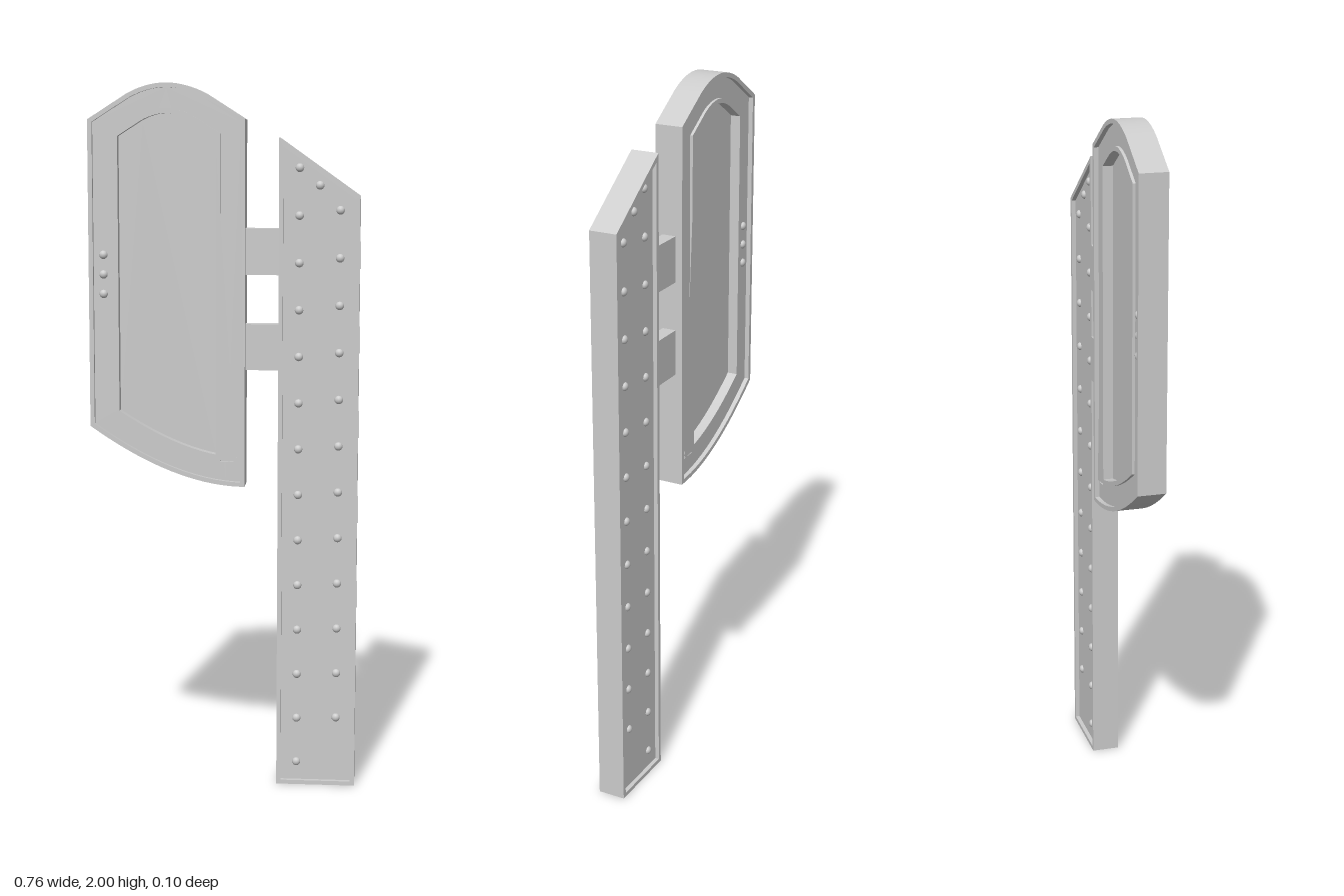
import * as THREE from 'three';
import { toCreasedNormals } from 'three/addons/utils/BufferGeometryUtils.js';

const material = new THREE.MeshStandardMaterial({ color: 0xcccccc });

function add(parent, name, geometry, x = 0, y = 0, z = 0) {
  const mesh = new THREE.Mesh(geometry, material);
  mesh.name = name;
  mesh.position.set(x, y, z);
  parent.add(mesh);
  return mesh;
}

// Moves every edge of a counter-clockwise convex outline inwards by d
function inset(points, d) {
  const n = points.length;
  return points.map((p, i) => {
    const a = p.clone().sub(points[(i + n - 1) % n]).normalize();
    const b = points[(i + 1) % n].clone().sub(p).normalize();
    const k = d / (1 + a.dot(b));
    return new THREE.Vector2(p.x - (a.y + b.y) * k, p.y + (a.x + b.x) * k);
  });
}

// Plate or ring between two insets of an outline, from z0 to z1
function plate(outline, outer, inner, z0, z1) {
  const shape = new THREE.Shape(inset(outline, outer));
  if (inner) shape.holes.push(new THREE.Path(inset(outline, inner)));
  const geometry = new THREE.ExtrudeGeometry(shape, { depth: z1 - z0, bevelEnabled: false });
  geometry.translate(0, 0, z0);
  return toCreasedNormals(geometry, 0.35);
}

// Domed rivets on both faces
function rivets(parent, spots, zBack, zFront) {
  const dome = new THREE.SphereGeometry(0.012, 12, 8).scale(1, 1, 0.8);
  for (const [x, y] of spots) {
    for (const z of [zBack, zFront]) add(parent, 'rivet', dome, x, y, z);
  }
}

function createSignBoard() {
  const board = new THREE.Group();
  board.name = 'signBoard';

  // Arched top, swept bottom
  const shape = new THREE.Shape();
  shape.moveTo(0.06, 0.87);
  shape.lineTo(0.06, 1.9);
  shape.lineTo(-0.05, 1.97);
  shape.quadraticCurveTo(-0.16, 2.03, -0.27, 1.97);
  shape.lineTo(-0.38, 1.9);
  shape.lineTo(-0.38, 1.04);
  shape.quadraticCurveTo(-0.14, 0.87, 0.06, 0.87);
  const outline = shape.getPoints(14);
  if (outline[0].distanceTo(outline[outline.length - 1]) < 1e-6) outline.pop();

  add(board, 'boardRim', plate(outline, 0, 0.0125, -0.05, 0.03));
  add(board, 'boardFace', plate(outline, 0.0125, 0.083, -0.037, 0.017));
  add(board, 'panelLip', plate(outline, 0.07, 0.083, -0.045, 0.025));
  add(board, 'innerPanel', plate(outline, 0.083, 0, -0.016, -0.004));

  rivets(board, [1.415, 1.47, 1.525].map(y => [-0.34, y]), -0.037, 0.017);
  return board;
}

function createPost() {
  const post = new THREE.Group();
  post.name = 'post';

  // Slanted top
  const outline = [[0.155, 0], [0.38, 0], [0.38, 1.69], [0.155, 1.85]]
    .map(([x, y]) => new THREE.Vector2(x, y));
  add(post, 'postRim', plate(outline, 0, 0.012, -0.03, 0.05));
  add(post, 'postCore', plate(outline, 0.012, 0, -0.018, 0.038));

  // Two columns of rivets, joined by one under the slanted edge
  const spots = [[0.268, 1.72]];
  for (let i = 0; i < 14; i++) spots.push([0.212, 0.065 + i * 0.131]);
  for (let i = 0; i < 12; i++) spots.push([0.325, 0.2 + i * 0.132]);
  rivets(post, spots, -0.018, 0.038);
  return post;
}

export function createModel() {
  const model = new THREE.Group();
  model.name = 'signPost';
  model.add(createSignBoard(), createPost());

  // Brackets between board and post
  for (const y of [1.267, 1.535]) {
    add(model, 'bracket', new THREE.BoxGeometry(0.099, 0.13, 0.04), 0.1075, y, -0.01);
  }
  return model;
}
